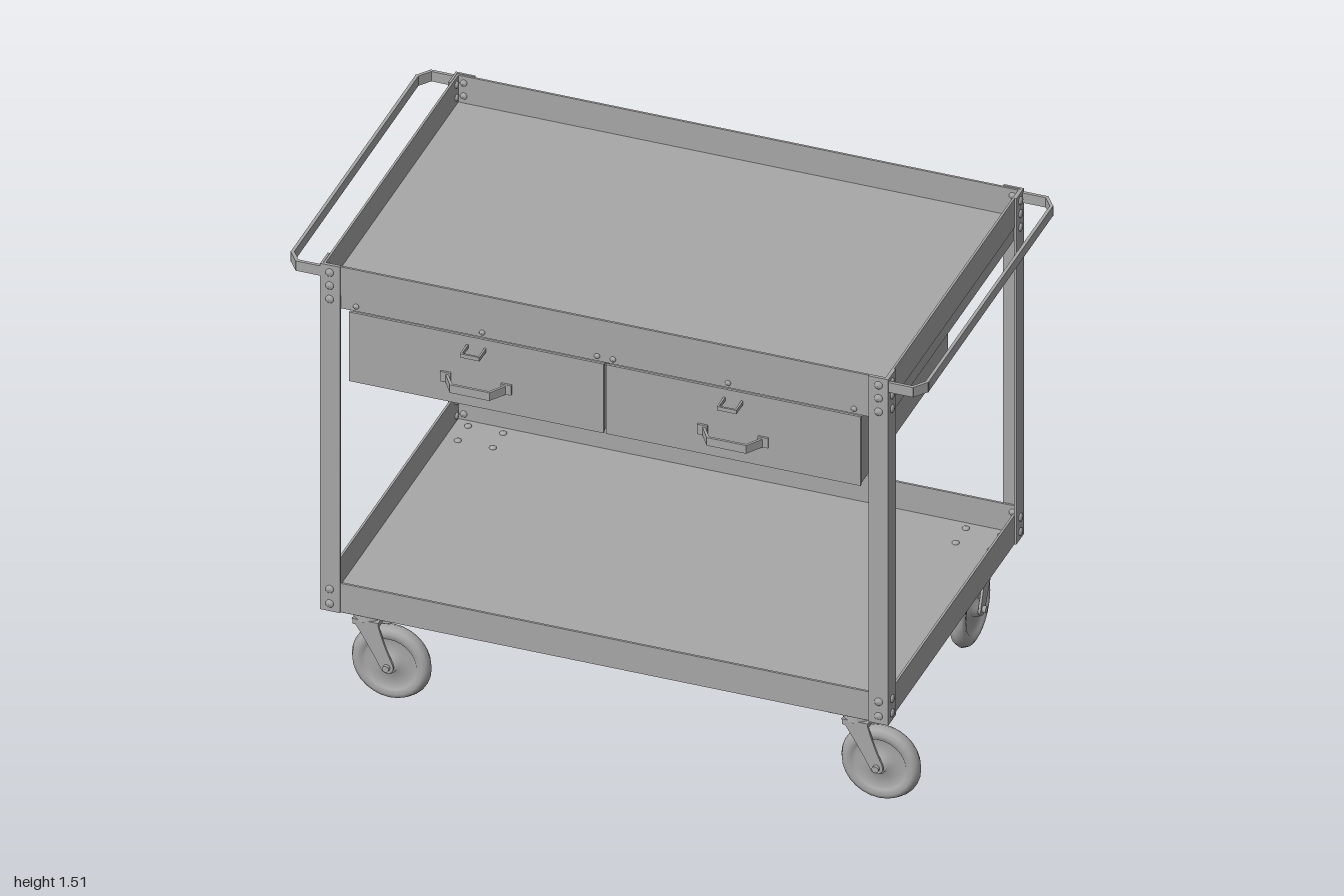
import * as THREE from 'three';

const steel = new THREE.MeshStandardMaterial({ color: 0xa8a8a8 });
steel.name = 'grey steel';

const FRONT = 0.535, BACK = -0.58, MIDZ = (FRONT + BACK) / 2, HALF = 0.89;

function add(parent, name, geometry, x = 0, y = 0, z = 0) {
  const mesh = new THREE.Mesh(geometry, steel);
  mesh.name = name;
  mesh.position.set(x, y, z);
  parent.add(mesh);
  return mesh;
}

// Box given by its two opposite corners
function block(parent, name, x0, x1, y0, y1, z0, z1) {
  return add(parent, name, new THREE.BoxGeometry(x1 - x0, y1 - y0, z1 - z0),
    (x0 + x1) / 2, (y0 + y1) / 2, (z0 + z1) / 2);
}

// Round bolt head whose dome points along dir
function bolt(parent, x, y, z, dir, r = 0.013) {
  const profile = [[r, 0], [r, 0.003], [r * 0.75, 0.006], [0, 0.008]].map(p => new THREE.Vector2(...p));
  const mesh = add(parent, 'bolt', new THREE.LatheGeometry(profile, 10), x, y, z);
  mesh.quaternion.setFromUnitVectors(new THREE.Vector3(0, 1, 0), dir);
}

// Upright flat bar bent along a path of [x, z] points
function strip(parent, name, points, y, height, thickness) {
  for (let i = 1; i < points.length; i++) {
    const [x0, z0] = points[i - 1], [x1, z1] = points[i];
    const length = Math.hypot(x1 - x0, z1 - z0) + thickness * 0.6;
    const mesh = add(parent, name, new THREE.BoxGeometry(length, height, thickness), (x0 + x1) / 2, y, (z0 + z1) / 2);
    mesh.rotation.y = -Math.atan2(z1 - z0, x1 - x0);
  }
}

// Open sheet-metal tray: floor and four upright walls
function tray(name, y0, y1) {
  const g = new THREE.Group();
  g.name = name;
  const t = 0.007, w = HALF - 0.006, f = FRONT - 0.006, b = BACK + 0.006;
  block(g, 'trayFloor', -w, w, y0, y0 + t, b, f);
  block(g, 'frontWall', -w, w, y0, y1, f - t, f);
  block(g, 'backWall', -w, w, y0, y1, b, b + t);
  for (const s of [-1, 1]) {
    const x = s * (w - t / 2);
    block(g, 'sideWall', x - t / 2, x + t / 2, y0, y1, b, f);
  }
  return g;
}

// L-section corner post with bolts on both faces
function post(sx, sz) {
  const g = new THREE.Group();
  g.name = 'cornerPost';
  const x = sx * HALF, z = sz > 0 ? FRONT : BACK, w = 0.062, t = 0.007;
  const y0 = 0.315, y1 = 1.517;
  add(g, 'postFace', new THREE.BoxGeometry(w, y1 - y0, t), x - sx * w / 2, (y0 + y1) / 2, z - sz * t / 2);
  add(g, 'postFlank', new THREE.BoxGeometry(t, y1 - y0, w), x - sx * t / 2, (y0 + y1) / 2, z - sz * w / 2);
  const outX = new THREE.Vector3(sx, 0, 0), outZ = new THREE.Vector3(0, 0, sz);
  for (const y of [1.492, 1.447, 1.4, 0.392, 0.342]) {
    bolt(g, x - sx * 0.03, y, z, outZ);
    bolt(g, x, y, z - sz * 0.03, outX);
    // nuts on the inner side
    bolt(g, x - sx * 0.03, y, z - sz * 0.013, outZ.clone().negate(), 0.011);
    bolt(g, x - sx * 0.013, y, z - sz * 0.03, outX.clone().negate(), 0.011);
  }
  return g;
}

// Push handle: flat bar with cut corners and an arm at each end
function pushHandle(s) {
  const g = new THREE.Group();
  g.name = 'pushHandle';
  const y = 1.49, zf = FRONT - 0.006, zb = BACK + 0.006;
  strip(g, 'handleBar', [[s * 0.885, zb], [s * 0.965, zb], [s * 0.994, zb + 0.04],
    [s * 0.994, zf - 0.04], [s * 0.965, zf], [s * 0.885, zf]], y, 0.034, 0.01);
  return g;
}

// Drawer with pull handle and lock
function drawer(s) {
  const g = new THREE.Group();
  g.name = 'drawer';
  const c = s * 0.4025;
  block(g, 'drawerBox', c - 0.396, c + 0.396, 1.126, 1.355, -0.195, 0.522);
  block(g, 'drawerFront', c - 0.399, c + 0.399, 1.125, 1.365, 0.522, 0.53);
  strip(g, 'drawerPull', [[c - 0.092, 0.533], [c - 0.06, 0.582], [c + 0.06, 0.582], [c + 0.092, 0.533]], 1.208, 0.028, 0.008);
  for (const e of [-1, 1]) {
    block(g, 'pullFoot', c + e * 0.095 - 0.016, c + e * 0.095 + 0.016, 1.194, 1.228, 0.53, 0.537);
  }
  strip(g, 'lockTab', [[c - 0.028, 0.53], [c - 0.028, 0.582], [c + 0.028, 0.582], [c + 0.028, 0.53]], 1.33, 0.013, 0.006);
  return g;
}

// Swivel caster; its wheel trails along local +x
function caster(x, z, angle) {
  const g = new THREE.Group();
  g.name = 'caster';
  g.position.set(x, 0, z);
  block(g, 'mountPlate', -0.075, 0.075, 0.305, 0.315, -0.06, 0.06);
  for (const px of [-0.055, 0.055]) for (const pz of [-0.042, 0.042]) {
    bolt(g, px, 0.305, pz, new THREE.Vector3(0, -1, 0), 0.01);
    bolt(g, px, 0.322, pz, new THREE.Vector3(0, 1, 0), 0.011);
  }
  const swivel = new THREE.Group();
  swivel.name = 'swivel';
  swivel.rotation.y = angle;
  g.add(swivel);
  add(swivel, 'swivelBearing', new THREE.CylinderGeometry(0.042, 0.046, 0.03, 20), 0, 0.29, 0);
  block(swivel, 'forkCrown', -0.035, 0.045, 0.262, 0.28, -0.042, 0.042);

  // Tapered fork legs
  const leg = new THREE.Shape();
  leg.moveTo(-0.038, 0.28);
  leg.lineTo(0.042, 0.28);
  leg.quadraticCurveTo(0.06, 0.21, 0.09, 0.145);
  leg.absarc(0.072, 0.133, 0.02, 0.5, -2.6, true);
  leg.quadraticCurveTo(0.015, 0.2, -0.038, 0.28);
  const legGeo = new THREE.ExtrudeGeometry(leg, { depth: 0.008, bevelEnabled: false, curveSegments: 8 });
  add(swivel, 'forkLeg', legGeo, 0, 0, 0.034);
  add(swivel, 'forkLeg', legGeo, 0, 0, -0.042);

  // Wheel: rounded tyre, recessed disc and raised hub
  const profile = [[0, -0.032], [0.026, -0.032], [0.03, -0.014], [0.078, -0.011], [0.086, -0.022], [0.104, -0.025],
    [0.117, -0.018], [0.125, 0], [0.117, 0.018], [0.104, 0.025], [0.086, 0.022], [0.078, 0.011], [0.03, 0.014],
    [0.026, 0.032], [0, 0.032]].map(p => new THREE.Vector2(...p));
  const wheel = add(swivel, 'wheel', new THREE.LatheGeometry(profile, 28), 0.072, 0.133, 0);
  wheel.rotation.x = Math.PI / 2;
  const axle = add(swivel, 'axle', new THREE.CylinderGeometry(0.011, 0.011, 0.106, 10), 0.072, 0.133, 0);
  axle.rotation.x = Math.PI / 2;
  return g;
}

export function createModel() {
  const cart = new THREE.Group();
  cart.name = 'utilityCart';
  cart.add(tray('topTray', 1.415, 1.515), tray('lowerTray', 0.315, 0.415));

  // Shallow frame under the top tray that carries the drawers
  const frame = new THREE.Group();
  frame.name = 'drawerFrame';
  cart.add(frame);
  add(frame, 'framePan', new THREE.BoxGeometry(1.764, 0.047, 1.099), 0, 1.3935, MIDZ);
  for (const x of [0.025, 0.385, 0.78]) for (const s of [-1, 1]) {
    bolt(frame, s * x, 1.387, 0.527, new THREE.Vector3(0, 0, 1), 0.009);
  }

  for (const s of [-1, 1]) {
    cart.add(post(s, 1), post(s, -1), pushHandle(s), drawer(s));
  }

  // Each caster is swivelled its own way
  cart.add(caster(-0.768, 0.455, 0), caster(0.766, 0.455, 0));
  cart.add(caster(0.78, -0.495, -Math.PI / 2), caster(-0.78, -0.495, -Math.PI / 2 - 0.3));
  return cart;
}
